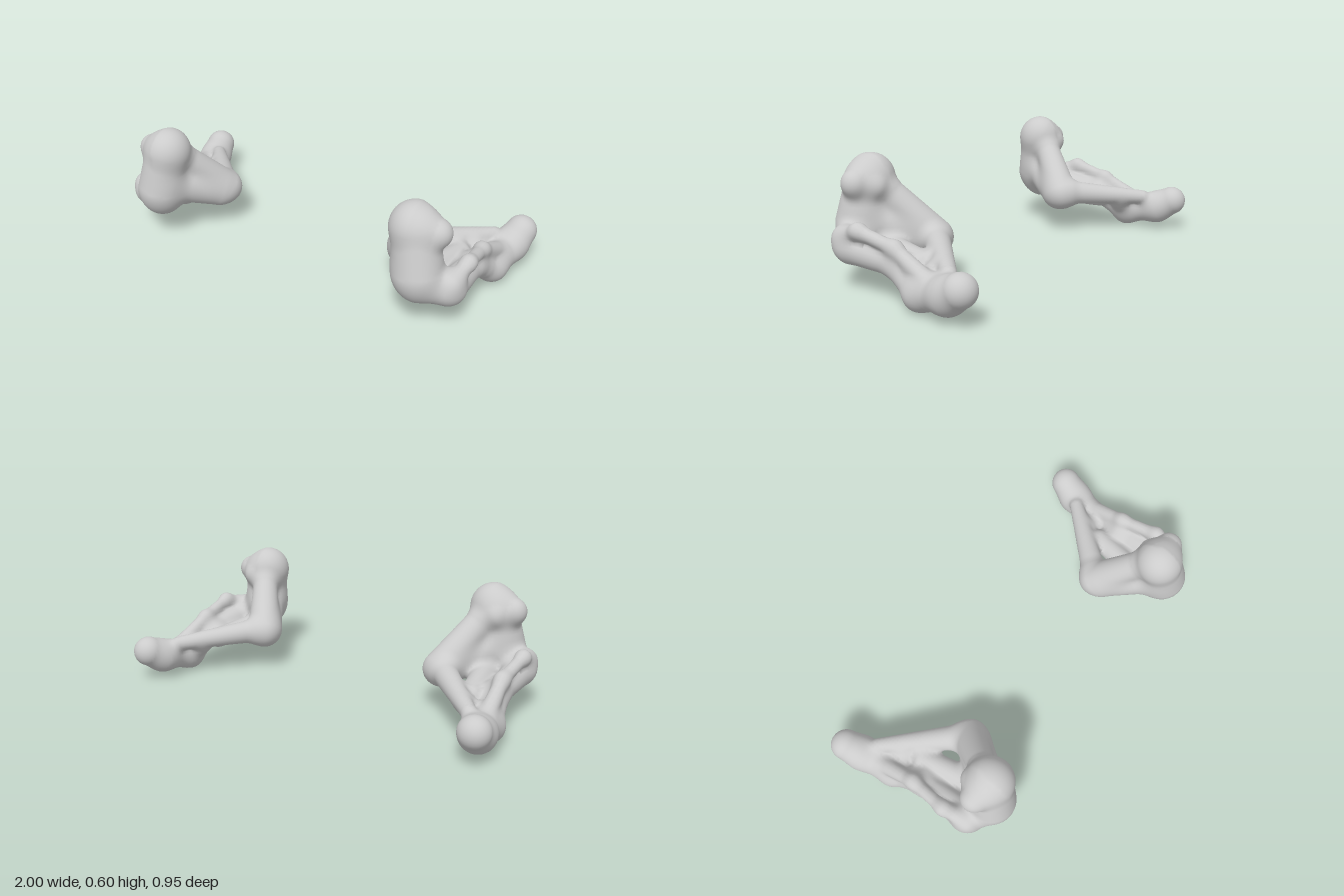
import * as THREE from 'three';

// Tapered limbs of one bone, blended into a single smooth skin:
// each is [start x, y, z, radius, end x, y, z, radius]
const limbs = {
  headTop: [0.68, 0.485, 0.325, 0.112, 0.785, 0.47, 0.315, 0.07],
  headBack: [0.685, 0.49, 0.31, 0.08, 0.72, 0.455, 0.25, 0.055],
  column: [0.72, 0.27, 0.355, 0.122, 0.69, 0.46, 0.33, 0.11],
  frontFoot: [0.73, 0.22, 0.34, 0.1, 0.84, 0.21, 0.31, 0.083],
  frontSlope: [0.7, 0.3, 0.33, 0.1, 0.55, 0.2, 0.12, 0.085],
  floorOuter: [0.845, 0.19, 0.28, 0.077, 0.845, 0.165, 0.02, 0.06],
  floorMiddle: [0.7, 0.175, 0.2, 0.065, 0.75, 0.16, -0.05, 0.055],
  innerLobe: [0.53, 0.205, 0.075, 0.09, 0.64, 0.41, 0.24, 0.068],
  innerRidge: [0.57, 0.21, 0.03, 0.066, 0.835, 0.175, -0.265, 0.04],
  flangeFront: [0.87, 0.25, 0.32, 0.04, 0.892, 0.292, 0.2, 0.034],
  flangeMiddle: [0.892, 0.292, 0.2, 0.034, 0.875, 0.245, 0, 0.034],
  flangeBack: [0.875, 0.245, 0, 0.034, 0.89, 0.14, -0.2, 0.045],
  neck: [0.845, 0.165, 0.02, 0.06, 0.875, 0.075, -0.14, 0.07],
  neckWeb: [0.875, 0.08, -0.15, 0.07, 0.78, 0.145, -0.15, 0.052],
  tail: [0.88, 0.075, -0.15, 0.07, 0.905, 0.112, -0.32, 0.083],
  tailTip: [0.905, 0.112, -0.32, 0.083, 0.925, 0.155, -0.4, 0.08],
};
const BLEND = 0.04, INSET = 0.004;

// Distance to one tapered limb
function limbDistance([ax, ay, az, ra, bx, by, bz, rb], x, y, z) {
  const dx = bx - ax, dy = by - ay, dz = bz - az;
  const px = x - ax, py = y - ay, pz = z - az;
  const t = Math.min(1, Math.max(0, (px * dx + py * dy + pz * dz) / (dx * dx + dy * dy + dz * dz)));
  return Math.hypot(px - t * dx, py - t * dy, pz - t * dz) - ra - t * (rb - ra);
}

// Smoothly blended distance to the whole bone
const parts = Object.values(limbs);
function boneDistance(x, y, z) {
  let d = 10;
  for (const limb of parts) {
    const e = limbDistance(limb, x, y, z);
    const h = Math.max(BLEND - Math.abs(d - e), 0) / BLEND;
    d = Math.min(d, e) - h * h * BLEND / 4;
  }
  return d + INSET;
}

function gradient([x, y, z]) {
  const e = 0.002;
  return [
    (boneDistance(x + e, y, z) - boneDistance(x - e, y, z)) / (2 * e),
    (boneDistance(x, y + e, z) - boneDistance(x, y - e, z)) / (2 * e),
    (boneDistance(x, y, z + e) - boneDistance(x, y, z - e)) / (2 * e),
  ];
}

// Skin the blended limbs: one vertex per crossed cell, one quad per crossed edge
function skin() {
  const step = 0.016, origin = [0.38, -0.06, -0.56], n = [43, 46, 70];
  const stride = [1, n[0], n[0] * n[1]];
  const values = new Float32Array(n[0] * n[1] * n[2]);
  for (let k = 0, i = 0; k < n[2]; k++)
    for (let j = 0; j < n[1]; j++)
      for (let m = 0; m < n[0]; m++, i++)
        values[i] = boneDistance(origin[0] + m * step, origin[1] + j * step, origin[2] + k * step);

  const positions = [], normals = [], index = [], vertexOf = new Map();
  function vertex(cell) {
    if (vertexOf.has(cell)) return vertexOf.get(cell);
    const grid = [cell % n[0], Math.floor(cell / n[0]) % n[1], Math.floor(cell / stride[2])];
    const p = grid.map((g, a) => origin[a] + (g + 0.5) * step);
    // slide the cell centre onto the surface
    for (let s = 0; s < 4; s++) {
      const g = gradient(p), d = boneDistance(...p);
      const l = Math.max(0.2, g[0] ** 2 + g[1] ** 2 + g[2] ** 2);
      for (let a = 0; a < 3; a++) p[a] -= d * g[a] / l;
    }
    const normal = new THREE.Vector3(...gradient(p)).normalize();
    positions.push(...p);
    normals.push(normal.x, normal.y, normal.z);
    vertexOf.set(cell, vertexOf.size);
    return vertexOf.size - 1;
  }

  for (let k = 1; k < n[2] - 1; k++)
    for (let j = 1; j < n[1] - 1; j++)
      for (let m = 1; m < n[0] - 1; m++) {
        const i = m + j * stride[1] + k * stride[2];
        for (let a = 0; a < 3; a++) {
          const inside = values[i] < 0;
          if (inside === values[i + stride[a]] < 0) continue;
          const u = stride[(a + 1) % 3], v = stride[(a + 2) % 3];
          const q = [i - u - v, i - v, i, i - u].map(vertex);
          if (!inside) q.reverse();
          index.push(q[0], q[1], q[2], q[0], q[2], q[3]);
        }
      }
  return { positions, normals, index };
}

// side = 1 for the left bone, -1 for its mirror image
function boneGeometry({ positions, normals, index }, side) {
  const mirror = (list) => list.map((c, i) => (i % 3 === 0 ? c * side : c));
  const geometry = new THREE.BufferGeometry();
  geometry.setAttribute('position', new THREE.Float32BufferAttribute(mirror(positions), 3));
  geometry.setAttribute('normal', new THREE.Float32BufferAttribute(mirror(normals), 3));
  geometry.setIndex(side > 0 ? index : index.slice().reverse());
  return geometry;
}

export function createModel() {
  const group = new THREE.Group();
  group.name = 'bonePair';
  const material = new THREE.MeshStandardMaterial({ color: 0xcccccc });
  const surface = skin();
  for (const [name, side] of [['leftBone', 1], ['rightBone', -1]]) {
    const bone = new THREE.Mesh(boneGeometry(surface, side), material);
    bone.name = name;
    group.add(bone);
  }
  return group;
}
